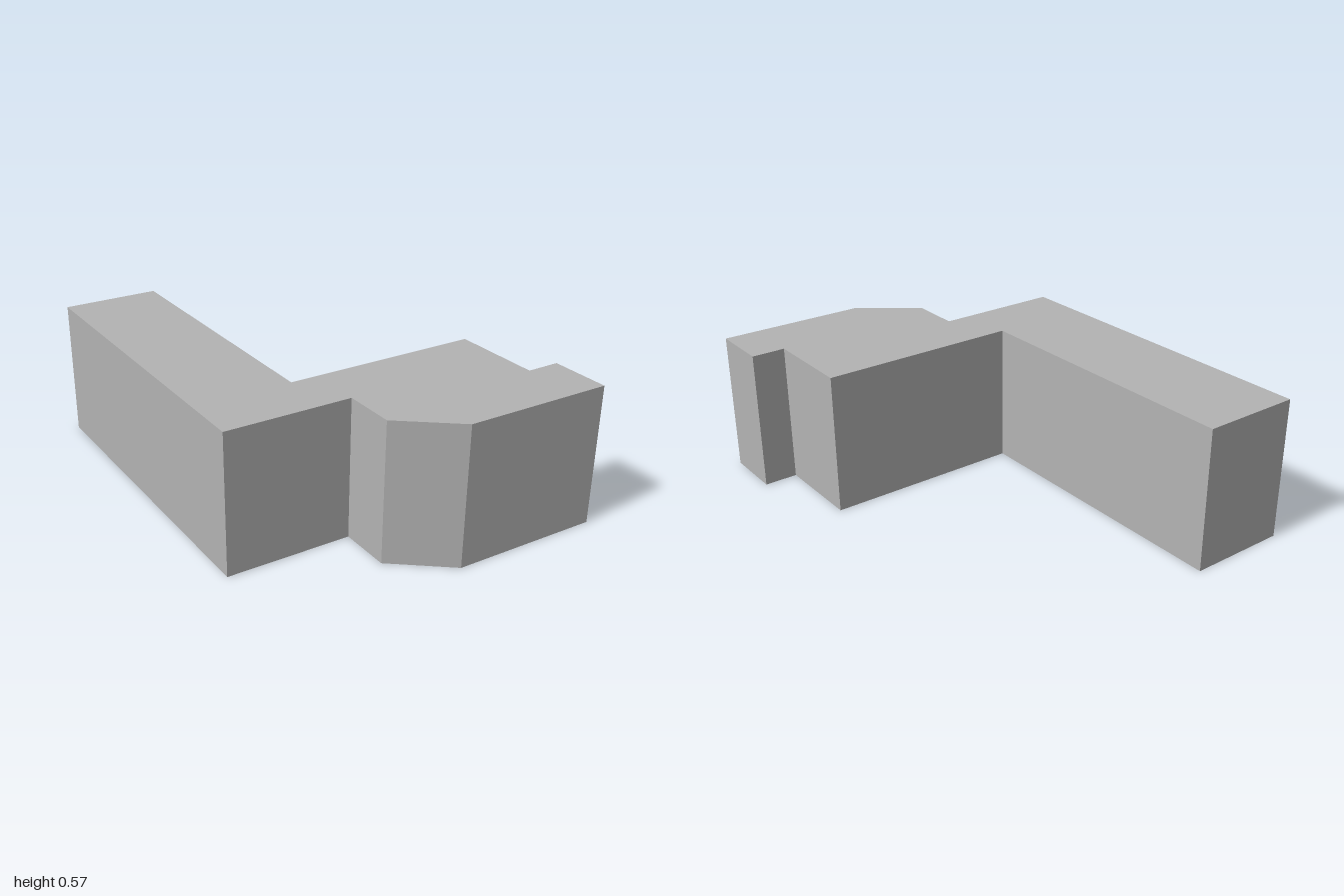
import * as THREE from 'three';

const HEIGHT = 0.575;

// Footprint corners as [x, z], running from the west end along the front
const FOOTPRINT = [
  [-1, 0.425], [0.39, 0.655], [0.475, 0.145], [0.685, 0.18],
  [0.895, -0.015], [1, -0.62], [0.757, -0.66], [0.735, -0.525],
  [0.365, -0.585], [0.232, 0.218], [-0.933, 0.027],
];

export function createModel() {
  const model = new THREE.Group();
  model.name = 'building';

  const grey = new THREE.MeshStandardMaterial({ color: 0xb3b3b3, side: THREE.DoubleSide });
  grey.name = 'light grey';

  // One upright panel per footprint edge, facing outwards; the base stays open
  const walls = new THREE.Group();
  walls.name = 'walls';
  FOOTPRINT.forEach(([x0, z0], i) => {
    const [x1, z1] = FOOTPRINT[(i + 1) % FOOTPRINT.length];
    const dx = x1 - x0, dz = z1 - z0;
    const wall = new THREE.Mesh(new THREE.PlaneGeometry(Math.hypot(dx, dz), HEIGHT), grey);
    wall.name = `wall${i + 1}`;
    wall.position.set((x0 + x1) / 2, HEIGHT / 2, (z0 + z1) / 2);
    wall.rotation.y = -Math.atan2(dz, dx);
    walls.add(wall);
  });
  model.add(walls);

  // Flat roof over the whole footprint
  const outline = new THREE.Shape(FOOTPRINT.map(([x, z]) => new THREE.Vector2(x, -z)));
  const roof = new THREE.Mesh(new THREE.ShapeGeometry(outline).rotateX(-Math.PI / 2), grey);
  roof.name = 'roof';
  roof.position.y = HEIGHT;
  model.add(roof);

  return model;
}
